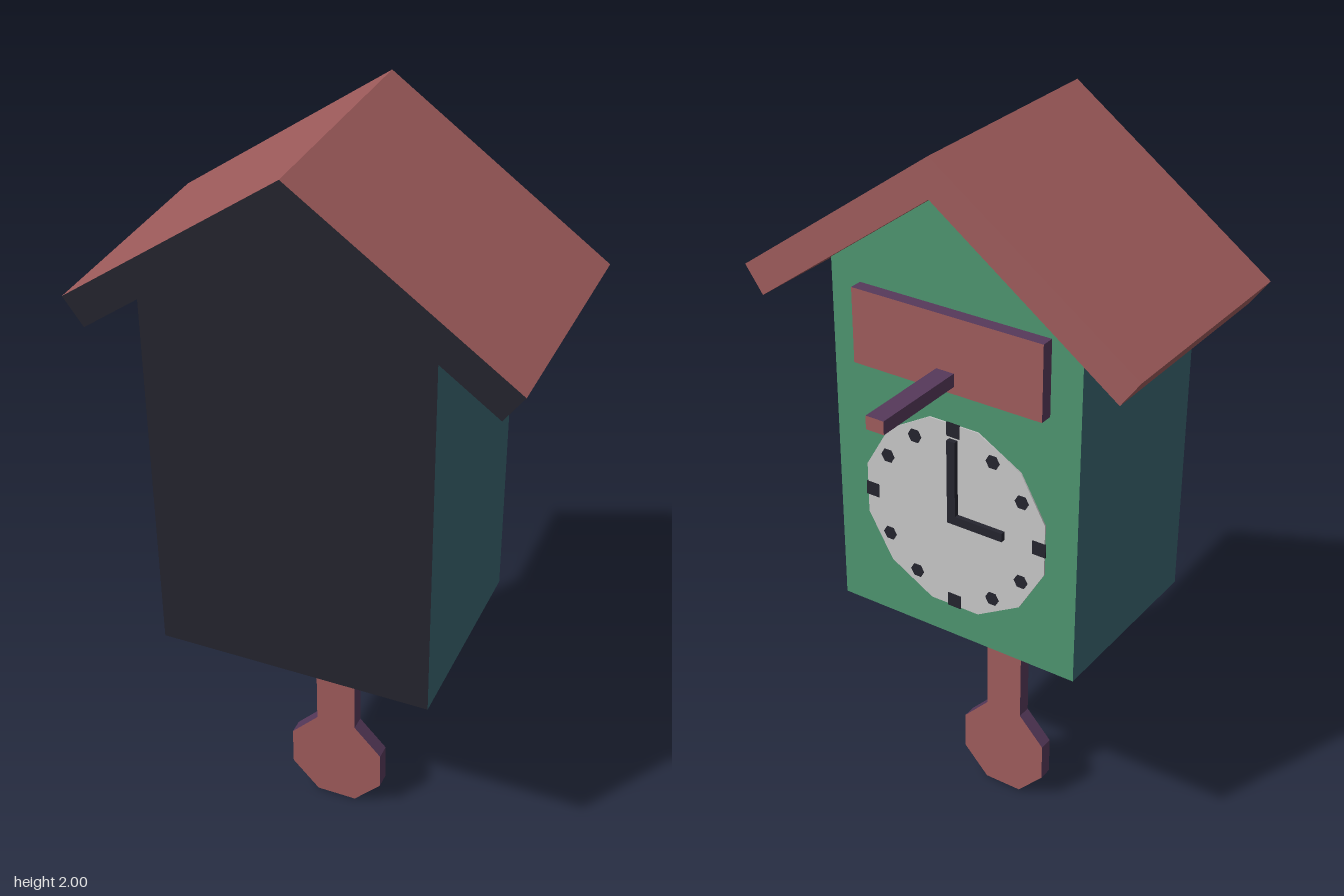
import * as THREE from 'three';

const mat = (name, color) => Object.assign(new THREE.MeshStandardMaterial({ color }), { name });

export function createModel() {
  const red = mat('roof red', 0x9e5b5b);
  const purple = mat('edge purple', 0x56395a);
  const teal = mat('side teal', 0x396470);
  const green = mat('face green', 0x4d946f);
  const black = mat('back black', 0x24242e);
  const white = mat('dial grey', 0xc6c6c6);

  const group = new THREE.Group();
  group.name = 'cuckooClock';

  // Extrudes an outline from z0 to z1 with own colours for the -z cap, +z cap and sides
  function slab(name, points, z0, z1, capBack, capFront, sides) {
    const shape = new THREE.Shape(points.map(([x, y]) => new THREE.Vector2(x, y)));
    const geo = new THREE.ExtrudeGeometry(shape, { depth: z1 - z0, bevelEnabled: false });
    const half = geo.groups[0].count / 2;
    const side = geo.groups[1];
    geo.clearGroups();
    geo.addGroup(0, half, 0);
    geo.addGroup(half, half, 1);
    geo.addGroup(side.start, side.count, 2);
    geo.translate(0, 0, z0);
    const mesh = new THREE.Mesh(geo, [capBack, capFront, sides]);
    mesh.name = name;
    group.add(mesh);
    return mesh;
  }
  // Right half of an outline, from bottom to top, mirrored to the left
  const mirror = (half) => [...half, ...half.slice().reverse().map(([x, y]) => [-x, y])];
  const rect = (x0, x1, y0, y1) => [[x0, y0], [x1, y0], [x1, y1], [x0, y1]];

  // House body with gable
  slab('body', [[-0.355, 0.67], [0.355, 0.67], [0.355, 1.65], [0, 1.9], [-0.355, 1.65]],
    -0.11, 0.42, green, black, teal);

  // Roof, overhanging the dial side
  slab('roof', [[0, 1.9], [0.5, 1.54], [0.55, 1.61], [0, 2], [-0.55, 1.61], [-0.5, 1.54]],
    -0.2, 0.42, red, black, red);

  // Pendulum: rod and octagonal bob
  slab('pendulum', mirror([[0.055, 0], [0.13, 0.08], [0.13, 0.19], [0.055, 0.27], [0.055, 0.68]]),
    0.12, 0.16, red, red, purple);

  // Bird door and perch
  slab('birdDoor', rect(-0.27, 0.27, 1.4, 1.6), -0.145, -0.11, red, red, purple);
  slab('perch', rect(-0.025, 0.025, 1.42, 1.455), -0.42, -0.14, red, red, purple);

  // Dial, facing -z
  const cy = 1.03;
  function disc(name, radius, sides, x, y, z, depth, material) {
    const geo = new THREE.CylinderGeometry(radius, radius, depth, sides);
    geo.rotateY(Math.PI / sides);
    geo.rotateX(-Math.PI / 2);
    const mesh = new THREE.Mesh(geo, material);
    mesh.name = name;
    mesh.position.set(x, y, z);
    group.add(mesh);
  }
  disc('dial', 0.275, 12, 0, cy, -0.112, 0.004, white);

  // Hour marks: larger squares on the quarters, dots between
  for (let i = 0; i < 12; i++) {
    const a = (i * Math.PI) / 6;
    const quarter = i % 3 === 0;
    const r = quarter ? 0.25 : 0.23;
    disc('hourMark', quarter ? 0.027 : 0.02, quarter ? 4 : 6,
      Math.sin(a) * r, cy + Math.cos(a) * r, -0.1145, 0.003, black);
  }

  // Hands at four o'clock style right angle
  slab('minuteHand', rect(-0.012, 0.012, 1.02, 1.255), -0.127, -0.11, black, black, black);
  slab('hourHand', rect(-0.15, -0.012, 1.02, 1.044), -0.127, -0.11, black, black, black);

  return group;
}
